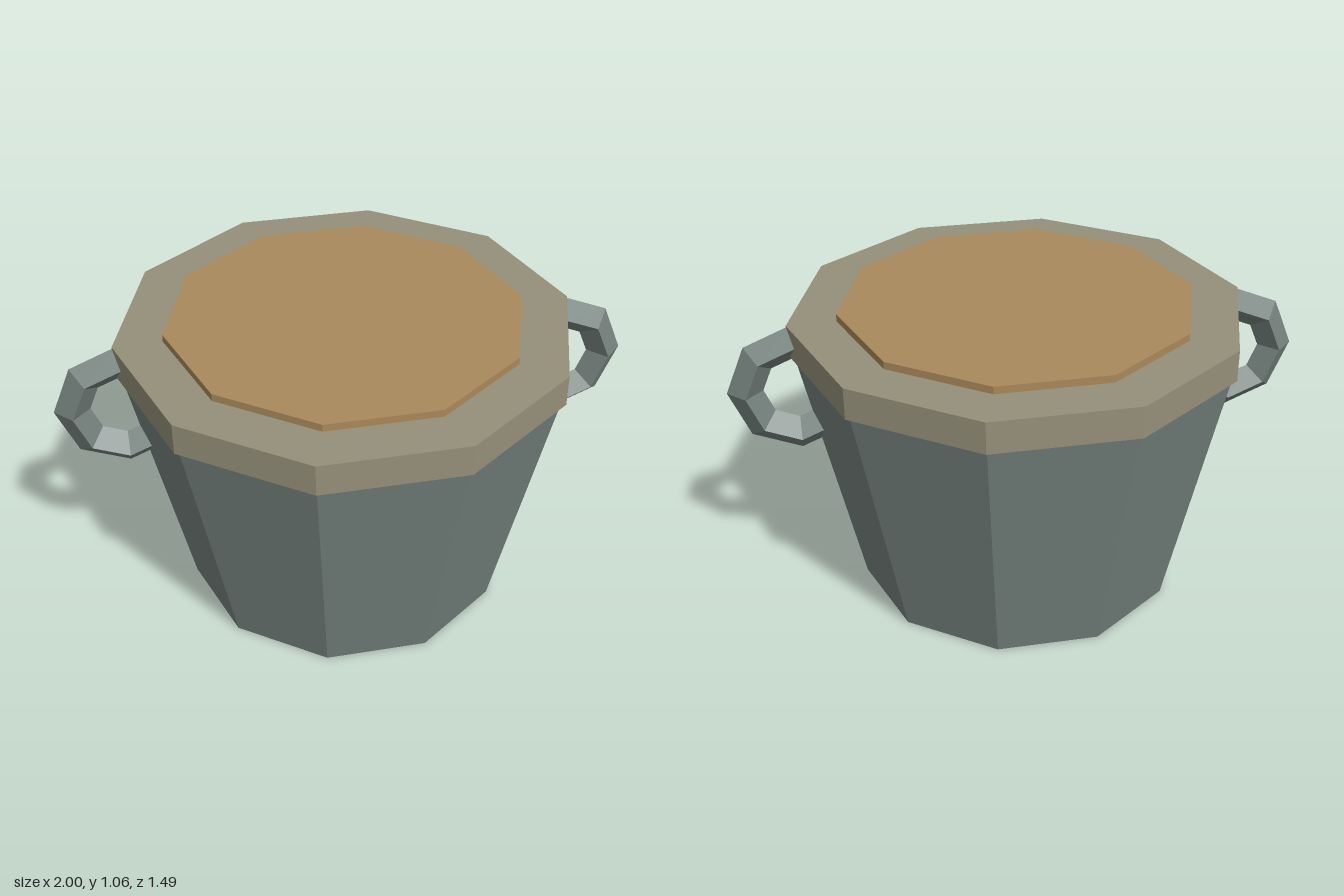
import * as THREE from 'three';

const SIDES = 10;

function flatMaterial(name, color) {
  const m = new THREE.MeshStandardMaterial({ color, flatShading: true });
  m.name = name;
  return m;
}

// Ten-sided ring section with corners on the x axis
function decagon(name, rTop, rBottom, y0, y1, material) {
  const geo = new THREE.CylinderGeometry(rTop, rBottom, y1 - y0, SIDES, 1, false, Math.PI / 2);
  const mesh = new THREE.Mesh(geo, material);
  mesh.position.y = (y0 + y1) / 2;
  mesh.name = name;
  return mesh;
}

export function createModel() {
  const metal = flatMaterial('grey green metal', 0x75827e);
  const trim = flatMaterial('pale rim', 0x959079);
  const filling = flatMaterial('tan filling', 0xa9895b);

  const group = new THREE.Group();
  group.name = 'bucket';

  // Tapered body, rim band and the slightly raised surface inside it
  group.add(decagon('body', 0.778, 0.57, 0, 0.98, metal));
  group.add(decagon('rim', 0.783, 0.783, 0.923, 1.034, trim));
  group.add(decagon('filling', 0.615, 0.615, 1.0, 1.06, filling));

  // Octagonal ring handles with a diamond section, half sunk into the body
  for (const side of [1, -1]) {
    const handle = new THREE.Mesh(new THREE.TorusGeometry(0.175, 0.061, 4, 8), metal);
    handle.position.set(side * 0.764, 0.8, 0);
    handle.name = side > 0 ? 'leftHandle' : 'rightHandle';
    group.add(handle);
  }
  return group;
}
